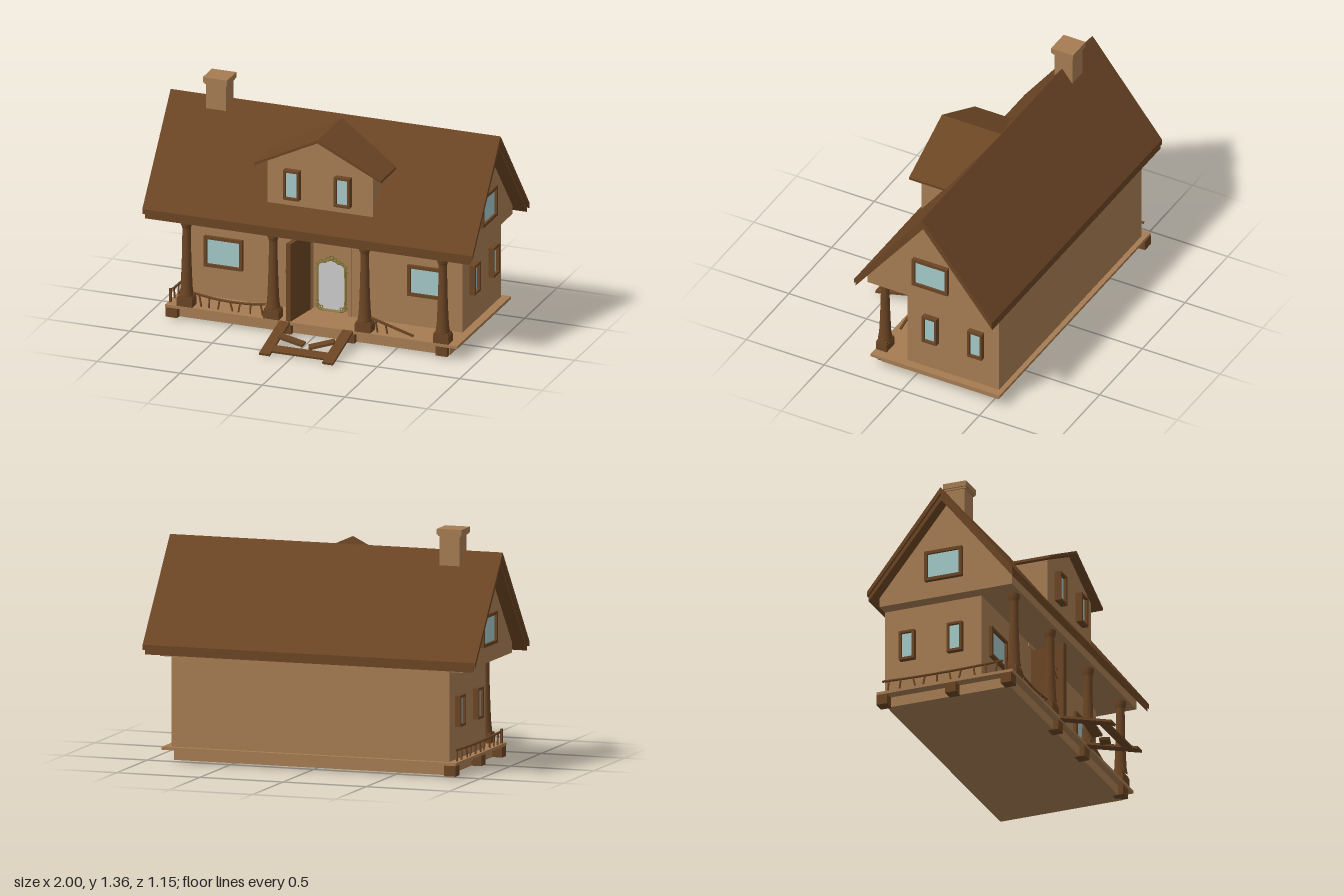
import * as THREE from 'three';

const mat = (color, extra = {}) => new THREE.MeshStandardMaterial({ color, ...extra });
const WALL = mat(0xa67c52), WOOD = mat(0x6b4524), ROOF = mat(0x6b4524);
const GLASS = mat(0xa3c8c8), GOLD = mat(0x8c7c3c), SILVER = mat(0xcccccc);

export function createModel() {
  const house = new THREE.Group();
  house.name = 'house';

  const add = (name, geo, material, parent = house) => {
    const m = new THREE.Mesh(geo, material);
    m.name = name;
    parent.add(m);
    return m;
  };
  // Box given by its limits on each axis
  const box = (name, material, x0, x1, y0, y1, z0, z1, parent) => {
    const m = add(name, new THREE.BoxGeometry(x1 - x0, y1 - y0, z1 - z0), material, parent);
    m.position.set((x0 + x1) / 2, (y0 + y1) / 2, (z0 + z1) / 2);
    return m;
  };
  // Rectangular beam from a to b
  const beam = (name, a, b, w, h, material = WOOD, parent = house) => {
    const p = new THREE.Vector3(...a), q = new THREE.Vector3(...b);
    const m = add(name, new THREE.BoxGeometry(w, h, p.distanceTo(q)), material, parent);
    m.position.copy(p).lerp(q, 0.5);
    m.lookAt(q);
    return m;
  };
  const shapeOf = pts => new THREE.Shape(pts.map(p => new THREE.Vector2(...p)));
  const extrude = (shape, depth) => new THREE.ExtrudeGeometry(shape, { depth, bevelEnabled: false });
  // Profile in (z, y) swept along x
  const sweepX = (name, pts, x0, x1, material) => {
    const m = add(name, extrude(shapeOf(pts.map(([z, y]) => [-z, y])), x1 - x0), material);
    m.rotation.y = Math.PI / 2;
    m.position.x = x0;
    return m;
  };
  const rect = (w, h) => [[-w / 2, -h / 2], [w / 2, -h / 2], [w / 2, h / 2], [-w / 2, h / 2]];

  // Foundation, deck and corner blocks
  box('foundation', WALL, -0.82, 0.83, 0.02, 0.08, -0.53, 0.22);
  box('deck', WALL, -0.88, 0.89, 0.08, 0.097, -0.57, 0.26);
  for (const [x, z] of [[-0.845, 0.22], [-0.155, 0.22], [0.23, 0.22], [0.79, 0.22], [-0.845, -0.12], [-0.845, -0.54]])
    box('foundationBlock', WOOD, x - 0.035, x + 0.035, 0.02, 0.08, z - 0.032, z + 0.032);

  // House body with a front wall pierced by the doorway
  box('body', WALL, -0.83, 0.84, 0.097, 0.61, -0.54, -0.005);
  const front = shapeOf([[-0.83, 0.097], [-0.085, 0.097], [-0.085, 0.585], [0.145, 0.585], [0.145, 0.097],
    [0.84, 0.097], [0.84, 0.61], [-0.83, 0.61]]);
  add('frontWall', extrude(front, 0.055), WALL).position.z = -0.005;
  box('doorJamb', WALL, 0.145, 0.17, 0.097, 0.61, 0.045, 0.056);
  box('doorLintel', WALL, -0.15, 0.17, 0.585, 0.61, 0.045, 0.056);

  // Attic with both gables, and the two layers of the main roof
  sweepX('attic', [[0.27, 0.61], [0.27, 0.665], [-0.13, 1.175], [-0.54, 0.665], [-0.54, 0.61]], -0.91, 0.91, WALL);
  sweepX('roof', [[0.307, 0.675], [-0.13, 1.243], [-0.578, 0.675], [-0.578, 0.645],
    [-0.13, 1.205], [0.307, 0.645]], -1, 1, ROOF);
  sweepX('roofUnderlayer', [[0.305, 0.647], [-0.13, 1.207], [-0.575, 0.647], [-0.575, 0.62],
    [-0.13, 1.17], [0.305, 0.62]], -0.985, 0.985, ROOF);

  // Chimney
  box('chimney', WALL, -0.765, -0.645, 1.1, 1.34, -0.195, -0.08);
  box('chimneyLedge', WALL, -0.772, -0.638, 1.328, 1.338, -0.202, -0.072);
  box('chimneyCap', WALL, -0.78, -0.632, 1.338, 1.37, -0.207, -0.065);

  // Dormer
  const dormer = shapeOf([[-0.275, 0.79], [0.365, 0.79], [0.365, 1.04], [0.045, 1.195], [-0.275, 1.04]]);
  add('dormerWall', extrude(dormer, 0.32), WALL).position.z = -0.1;
  const dormerRoof = shapeOf([[-0.34, 1.02], [0.045, 1.207], [0.43, 1.02], [0.43, 1.035], [0.045, 1.225], [-0.34, 1.035]]);
  const dr = extrude(dormerRoof, 1);
  // Back edge of the dormer roof follows the slope of the main roof
  const p = dr.attributes.position;
  for (let i = 0; i < p.count; i++)
    p.setZ(i, p.getZ(i) > 0.5 ? 0.265 : -0.13 + (1.225 - p.getY(i)) * 0.77);
  dr.computeVertexNormals();
  add('dormerRoof', dr, ROOF);

  // Windows: a framed pane facing +z, turned to the wall it sits on
  const addWindow = (name, w, h, pos, turn = 0, depth = 0.03, rim = 0.018) => {
    const g = new THREE.Group();
    g.name = name;
    const ring = shapeOf(rect(w, h));
    ring.holes.push(new THREE.Path(rect(w - 2 * rim, h - 2 * rim).map(q => new THREE.Vector2(...q))));
    add('windowFrame', extrude(ring, depth), WOOD, g);
    box('windowPane', GLASS, -w / 2 + rim, w / 2 - rim, -h / 2 + rim, h / 2 - rim, 0, depth * 0.55, g);
    g.position.set(...pos);
    g.rotation.y = turn;
    house.add(g);
  };
  addWindow('frontWindow', 0.232, 0.185, [-0.605, 0.373, 0.04]);
  addWindow('frontWindow', 0.232, 0.185, [0.628, 0.373, 0.04]);
  for (const x of [-0.12, 0.188]) addWindow('dormerWindow', 0.095, 0.178, [x, 0.923, 0.215], 0, 0.043, 0.013);
  for (const s of [-1, 1]) {
    const turn = s * Math.PI / 2, wall = s > 0 ? 0.84 : -0.83;
    for (const z of [-0.105, -0.397])
      addWindow('sideWindow', 0.093, 0.178, [wall - s * 0.005, 0.373, z], turn, 0.037, 0.014);
    addWindow('gableWindow', 0.228, 0.182, [s * 0.905, 0.802, -0.143], turn, 0.03);
  }

  // Open door
  const door = beam('door', [-0.095, 0.34, 0.05], [-0.13, 0.34, 0.268], 0.028, 0.47);
  const handle = add('doorHandle', new THREE.TorusGeometry(0.025, 0.004, 6, 12, Math.PI), WOOD, door);
  handle.rotation.z = Math.PI / 2;
  handle.position.set(-0.014, 0.05, 0.07);
  handle.scale.x = 1.2;

  // Ornate standing mirror in the doorway
  const mirror = new THREE.Group();
  mirror.name = 'mirror';
  mirror.position.set(0.033, 0.11, 0.012);
  house.add(mirror);
  const glass = new THREE.Shape();
  glass.moveTo(-0.078, 0);
  glass.lineTo(0.078, 0);
  glass.lineTo(0.083, 0.25);
  glass.bezierCurveTo(0.08, 0.285, 0.04, 0.285, 0, 0.3);
  glass.bezierCurveTo(-0.04, 0.285, -0.08, 0.285, -0.083, 0.25);
  glass.closePath();
  add('mirrorGlass', extrude(glass, 0.006), SILVER, mirror);
  const rim = new THREE.CatmullRomCurve3(glass.getPoints(8).slice(0, -1).map(q => new THREE.Vector3(q.x, q.y, 0.006)), true, 'catmullrom', 0.2);
  add('mirrorRim', new THREE.TubeGeometry(rim, 80, 0.006, 6, true), GOLD, mirror);
  const knob = (x, y, r) => {
    const m = add('mirrorScroll', new THREE.TorusGeometry(r, r * 0.4, 6, 12), GOLD, mirror);
    m.position.set(x, y, 0.008);
  };
  knob(0, 0.314, 0.012);
  for (const s of [-1, 1])
    for (const [x, y, r] of [[0.022, 0.304, 0.01], [0.043, 0.29, 0.011], [0.066, 0.284, 0.009],
      [0.085, 0.265, 0.009], [0.088, 0.235, 0.007], [0.085, 0.045, 0.007], [0.084, 0.018, 0.01], [0.06, 0.01, 0.008]])
      knob(s * x, y, r);

  // Porch posts: square plinth and turned, tapering shaft
  const shaft = [[0.04, 0.155], [0.04, 0.168], [0.035, 0.2], [0.03, 0.3], [0.026, 0.42], [0.024, 0.56],
    [0.027, 0.575], [0.032, 0.585], [0.034, 0.612]].map(q => new THREE.Vector2(...q));
  for (const x of [-0.765, -0.24, 0.315, 0.788]) {
    box('postPlinth', WOOD, x - 0.047, x + 0.047, 0.097, 0.145, 0.187, 0.257);
    box('postPlinthCap', WOOD, x - 0.043, x + 0.043, 0.145, 0.157, 0.19, 0.254);
    add('postShaft', new THREE.LatheGeometry(shaft, 20), WOOD).position.set(x, 0, 0.222);
  }

  // Worn railings: a sagging handrail on crooked balusters
  const railing = (a, b, count, sag) => {
    const A = new THREE.Vector3(...a), B = new THREE.Vector3(...b);
    const at = t => A.clone().lerp(B, t).add(new THREE.Vector3(0, -sag * 4 * t * (1 - t), 0));
    const curve = new THREE.CatmullRomCurve3([0, 0.25, 0.5, 0.75, 1].map(at));
    add('handrail', new THREE.TubeGeometry(curve, 16, 0.007, 6), WOOD);
    const dir = B.clone().sub(A).setY(0).normalize();
    for (let i = 0; i < count; i++) {
      const top = at((i + 0.5) / count);
      const foot = top.clone().addScaledVector(dir, 0.016 * Math.sin(i * 2.3 + 1)).setY(0.097);
      beam('baluster', foot.toArray(), top.toArray(), 0.008, 0.008);
    }
  };
  railing([-0.72, 0.175, 0.222], [-0.285, 0.168, 0.222], 7, 0.018);
  railing([-0.865, 0.165, 0.2], [-0.865, 0.165, -0.54], 10, 0.008);
  beam('railPost', [-0.866, 0.097, 0.215], [-0.866, 0.18, 0.215], 0.012, 0.012);
  // Fallen rail
  beam('fallenRail', [0.35, 0.18, 0.222], [0.61, 0.105, 0.222], 0.012, 0.012);
  for (const [x, y] of [[0.38, 0.17], [0.44, 0.152]])
    beam('baluster', [x + 0.012, 0.097, 0.222], [x, y, 0.222], 0.008, 0.008);

  // Broken front steps
  for (const x of [-0.155, 0.228]) beam('stepRail', [x, 0.094, 0.26], [x, 0.012, 0.575], 0.064, 0.014);
  beam('stepTread', [0.037, 0.035, 0.48], [0.037, 0.02, 0.54], 0.36, 0.012);
  beam('brokenTread', [-0.13, 0.068, 0.405], [0.018, 0.036, 0.405], 0.06, 0.014);
  beam('brokenTread', [0.058, 0.034, 0.43], [0.195, 0.07, 0.38], 0.06, 0.014);

  return house;
}
